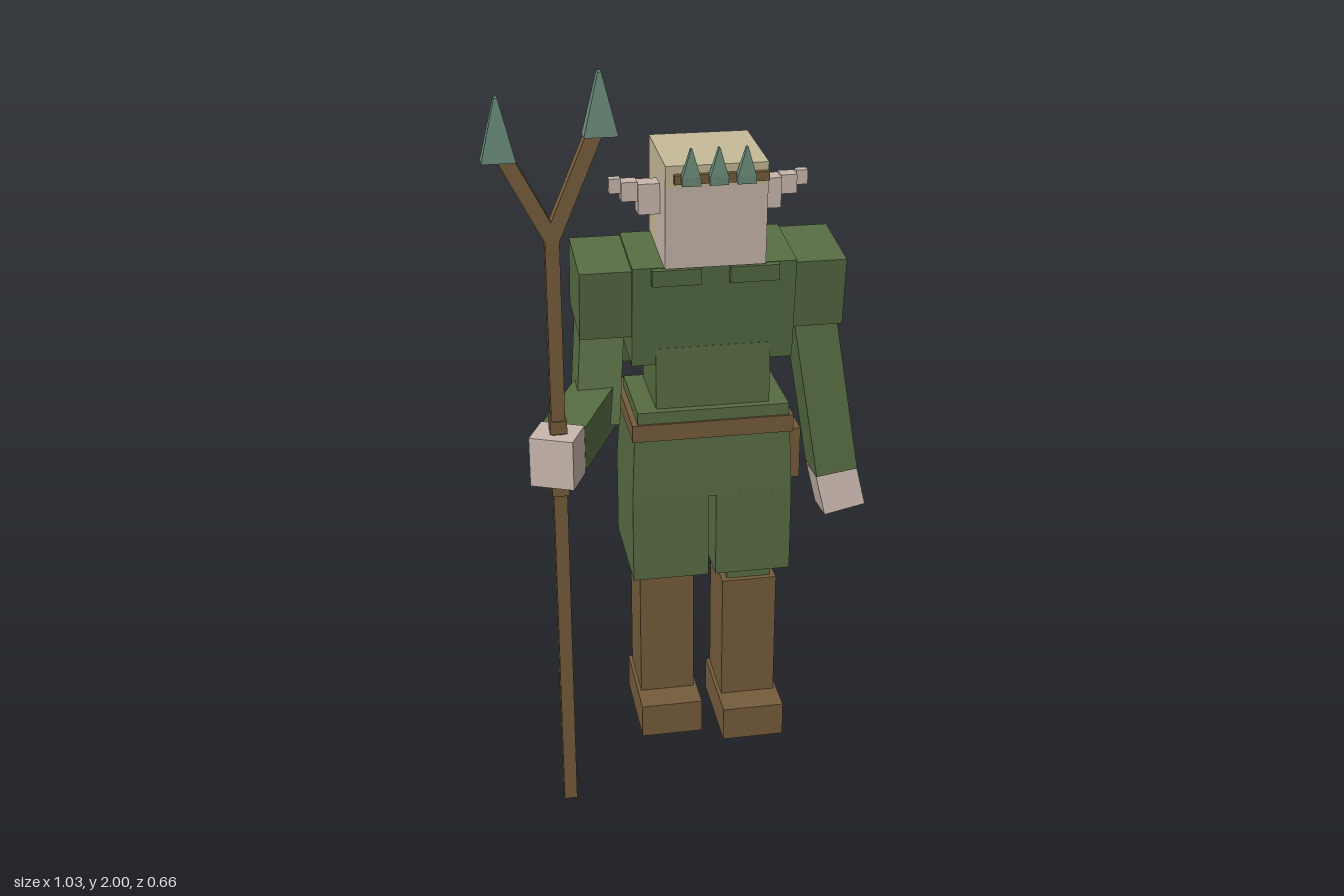
import * as THREE from 'three';

const paint = (name, color) => {
  const m = new THREE.MeshStandardMaterial({ color });
  m.name = name;
  return m;
};

export function createModel() {
  const green = paint('green cloth', 0x576c43);
  const brown = paint('brown leather', 0x755c3b);
  const skin = paint('pale skin', 0xc8b7ad);
  const tan = paint('tan hair', 0xc5b996);
  const teal = paint('teal metal', 0x6a8c7a);
  const model = new THREE.Group();
  model.name = 'guard';
  const MID = 0.08; // body centre line

  const add = (name, geo, mat, parent = model) => {
    const mesh = new THREE.Mesh(geo, mat);
    mesh.name = name;
    parent.add(mesh);
    return mesh;
  };
  // box given by its extents
  const box = (name, mat, [x0, x1], [y0, y1], [z0, z1], parent) => {
    const mesh = add(name, new THREE.BoxGeometry(x1 - x0, y1 - y0, z1 - z0), mat, parent);
    mesh.position.set((x0 + x1) / 2, (y0 + y1) / 2, (z0 + z1) / 2);
    return mesh;
  };
  // box centred at a point, leaning about x
  const leaning = (name, mat, size, pos, lean) => {
    const mesh = add(name, new THREE.BoxGeometry(...size), mat);
    mesh.position.set(...pos);
    mesh.rotation.x = lean;
    return mesh;
  };
  // box running from a to b
  const limb = (name, mat, a, b, w, d, up = [0, 0, 1]) => {
    const p = new THREE.Vector3(...a), q = new THREE.Vector3(...b);
    const mesh = add(name, new THREE.BoxGeometry(w, d, p.distanceTo(q)), mat);
    mesh.position.copy(p).lerp(q, 0.5);
    mesh.up.set(...up);
    mesh.lookAt(q);
    return mesh;
  };
  // box whose top face has its own size and z offset
  const taper = (name, mat, [w, h, d], [tw, td], pos, shift = 0, parent) => {
    const geo = new THREE.BoxGeometry(w, h, d).toNonIndexed();
    const p = geo.attributes.position;
    for (let i = 0; i < p.count; i++) {
      if (p.getY(i) > 0) {
        p.setX(i, p.getX(i) * tw / w);
        p.setZ(i, p.getZ(i) * td / d + shift);
      }
    }
    geo.computeVertexNormals();
    const mesh = add(name, geo, mat, parent);
    mesh.position.set(...pos);
    return mesh;
  };

  // legs, the left one a little ahead
  for (const side of [-1, 1]) {
    const x = MID + side * 0.1135;
    const z = side > 0 ? 0 : -0.055;
    const span = (half) => [x - half, x + half];
    box('foot', brown, span(0.087), [0, 0.1], [z - 0.215, z + 0.06]);
    box('boot', brown, span(0.077), [0.1, 0.475], [z - 0.205, z - 0.025]);
    box('legging', green, span(0.062), [0.475, 0.53], [z - 0.19, z - 0.04]);
    box('skirtPanel', green, side < 0 ? [-0.14, 0.07] : [0.09, 0.3], [0.52, 0.765], [-0.307, 0.005]);
  }

  // skirt, belt and pouch
  taper('skirt', green, [0.44, 0.185, 0.312], [0.425, 0.272], [MID, 0.857, -0.151], 0.014);
  box('belt', brown, [-0.14, 0.297], [0.947, 0.995], [-0.315, 0.018]);
  box('waistband', green, [-0.125, 0.285], [0.99, 1.028], [-0.25, 0.012]);
  box('pouch', brown, [0.29, 0.327], [0.79, 0.937], [-0.143, -0.02]);

  // torso
  box('waist', green, [-0.072, 0.235], [1.02, 1.2], [-0.235, -0.01]);
  leaning('chest', green, [0.43, 0.28, 0.23], [MID, 1.305, -0.115], 0.11);
  for (const side of [-1, 1]) {
    leaning('chestPocket', green, [0.128, 0.045, 0.02], [MID + side * 0.102, 1.407, 0.018], 0.11);
    leaning('shoulder', green, [0.138, 0.188, 0.222], [MID + side * 0.281, 1.343, -0.115], 0.12);
  }
  limb('cape', green, [MID, 1.41, -0.248], [MID, 1.05, -0.32], 0.43, 0.026);

  // left arm hanging
  limb('leftArm', green, [0.353, 1.3, -0.105], [0.428, 0.8, -0.06], 0.115, 0.137);
  limb('leftHand', skin, [0.428, 0.8, -0.06], [0.452, 0.688, -0.042], 0.116, 0.125);

  // right arm reaching forward
  const reach = [0, 1, 0];
  limb('rightUpperArm', green, [-0.205, 1.3, -0.11], [-0.235, 1.0, -0.025], 0.115, 0.13);
  limb('rightForearm', green, [-0.215, 1.05, -0.07], [-0.343, 1.043, 0.216], 0.113, 0.12, reach);
  limb('rightHand', skin, [-0.343, 1.045, 0.216], [-0.383, 1.045, 0.31], 0.112, 0.13, reach);

  // head, leaning slightly forward
  const head = new THREE.Group();
  head.name = 'head';
  head.position.set(0.078, 1.573, -0.095);
  head.rotation.x = 0.05;
  model.add(head);
  const wide = [-0.131, 0.131];
  box('face', skin, wide, [-0.135, 0.08], [-0.02, 0.13], head);
  box('hairTop', tan, wide, [0.08, 0.137], [-0.02, 0.13], head);
  box('hairBack', tan, wide, [-0.135, 0.137], [-0.131, -0.02], head);
  box('headband', brown, [-0.11, 0.131], [0.092, 0.116], [0.125, 0.143], head);
  for (const x of [-0.07, 0, 0.07]) {
    box('spikeBase', teal, [x - 0.024, x + 0.024], [0.092, 0.112], [0.132, 0.16], head);
    taper('crownSpike', teal, [0.048, 0.075, 0.024], [0.004, 0.012], [x, 0.148, 0.148], 0, head);
  }
  for (const side of [-1, 1]) {
    // stepped ears: inner, outer, bottom, top, half depth
    const steps = [[0.13, 0.186, 1.555, 1.635, 0.027], [0.186, 0.228, 1.59, 1.64, 0.022], [0.228, 0.258, 1.61, 1.648, 0.013]];
    for (const [a, b, y0, y1, h] of steps) {
      const xs = side > 0 ? [MID - 0.003 + a, MID - 0.003 + b] : [MID - 0.003 - b, MID - 0.003 - a];
      box('ear', skin, xs, [y0, y1], [-0.073 - h, -0.073 + h]);
    }
    const x = MID + side * 0.074;
    box('hairTail', tan, [x - 0.017, x + 0.017], [1.41, 1.54], [-0.266, -0.215]);
  }

  // forked spear
  const SX = -0.36, SZ = 0.265;
  const around = (c, half) => [c - half, c + half];
  box('spearShaft', brown, around(SX, 0.017), [0.02, 1.63], around(SZ, 0.017));
  for (const y of [0.96, 1.13]) {
    box('grip', brown, around(SX, 0.021), around(y, 0.017), around(SZ, 0.021));
  }
  for (const [x, y] of [[-0.477, 1.805], [-0.243, 1.855]]) {
    limb('spearProng', brown, [SX, 1.61, SZ], [x, y + 0.03, SZ], 0.036, 0.036);
    taper('spearhead', teal, [0.08, 0.147, 0.045], [0.008, 0.026], [x, y + 0.0715, 0.283]);
  }
  return model;
}
